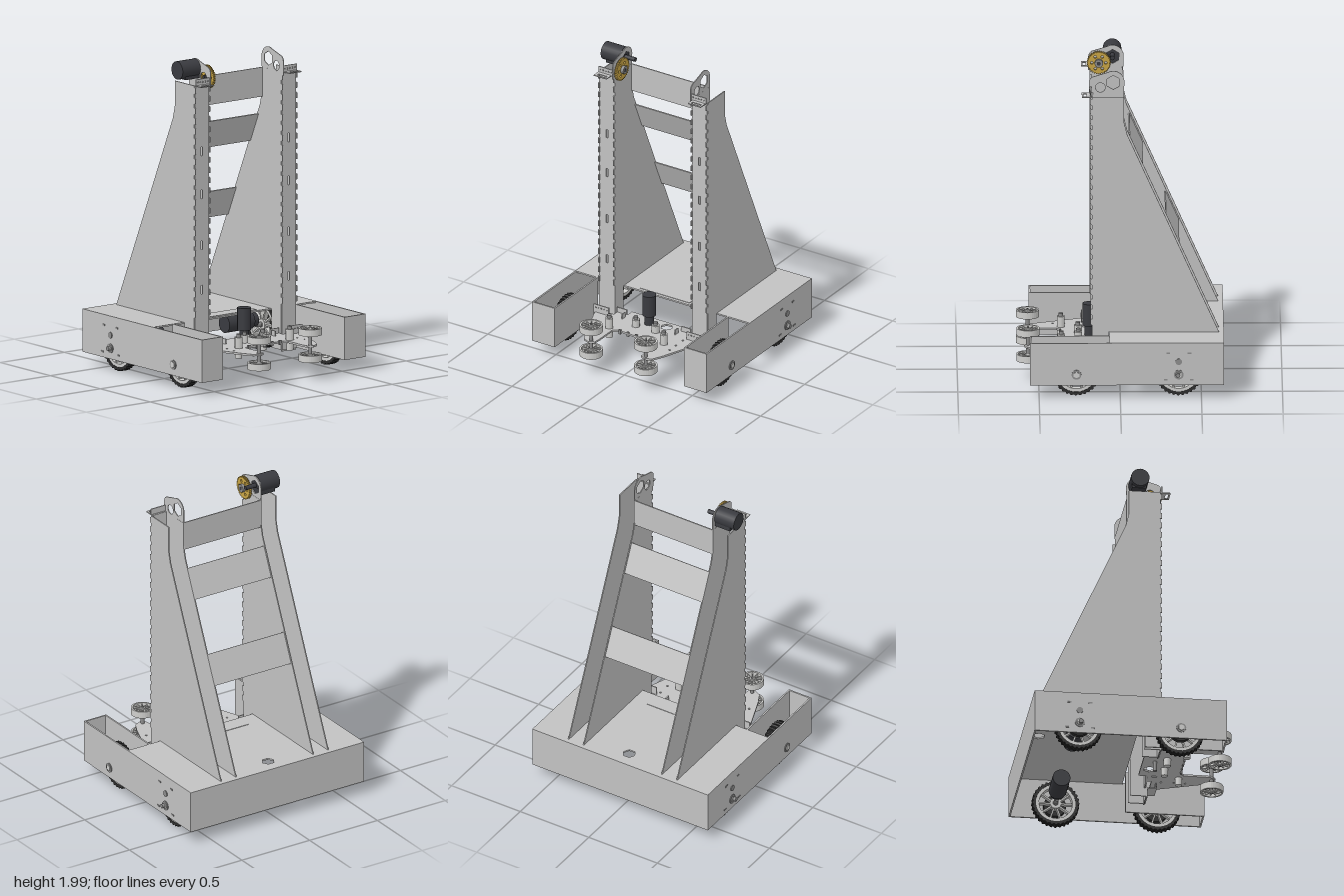
import * as THREE from 'three';

const mat = (name, color, side = THREE.FrontSide) => {
  const m = new THREE.MeshStandardMaterial({ color, side });
  m.name = name;
  return m;
};

export function createModel() {
  const root = new THREE.Group();
  root.name = 'liftRobot';
  const metal = mat('sheet metal grey', 0xc2c2c2, THREE.DoubleSide);
  const light = mat('pale wheel grey', 0xcfcfcd);
  const rubber = mat('tyre black', 0x2e2e2e);
  const motorMat = mat('motor charcoal', 0x3a3b40);
  const gold = mat('gear gold', 0xc9a545);
  const steel = mat('bolt grey', 0x8c8c8c);

  const add = (name, geo, m, parent = root) => {
    const mesh = new THREE.Mesh(geo, m);
    mesh.name = name;
    parent.add(mesh);
    return mesh;
  };
  // box from its limits
  const box = (name, m, x0, x1, y0, y1, z0, z1, parent = root) => {
    const b = add(name, new THREE.BoxGeometry(x1 - x0, y1 - y0, Math.abs(z1 - z0)), m, parent);
    b.position.set((x0 + x1) / 2, (y0 + y1) / 2, (z0 + z1) / 2);
    return b;
  };
  // cylinder along an axis
  const cyl = (name, m, r, len, axis, x, y, z, sides = 24, parent = root) => {
    const g = new THREE.CylinderGeometry(r, r, len, sides);
    if (axis === 'z') g.rotateX(Math.PI / 2);
    if (axis === 'x') g.rotateZ(Math.PI / 2);
    const c = add(name, g, m, parent);
    c.position.set(x, y, z);
    return c;
  };
  const poly = pts => new THREE.Shape(pts.map(p => new THREE.Vector2(p[0], p[1])));
  const hole = (shape, x, y, r, n = 24) => {
    const pts = [];
    for (let i = 0; i < n; i++) {
      const a = (i / n) * Math.PI * 2 + Math.PI / 6;
      pts.push(new THREE.Vector2(x + r * Math.cos(a), y + r * Math.sin(a)));
    }
    shape.holes.push(new THREE.Path(pts));
  };
  const rectHole = (shape, x, y, w, h) => shape.holes.push(new THREE.Path(
    [[-1, -1], [1, -1], [1, 1], [-1, 1]].map(([a, b]) => new THREE.Vector2(x + a * w / 2, y + b * h / 2))));
  const slab = (shape, d) => new THREE.ExtrudeGeometry(shape, { depth: d, bevelEnabled: false, curveSegments: 16 });
  // toothed ring shape
  const toothed = (r, depth, n, inner) => {
    const pts = [];
    for (let i = 0; i < n * 4; i++) {
      const a = (i / (n * 4)) * Math.PI * 2, q = i % 4 < 2 ? r : r - depth;
      pts.push([q * Math.cos(a), q * Math.sin(a)]);
    }
    const s = poly(pts);
    if (inner) hole(s, 0, 0, inner, 32);
    return s;
  };
  // spoked wheel lying across z
  const wheel = (name, r, width, tyre, tread, spokes) => {
    const g = new THREE.Group();
    g.name = name;
    const rim = tread ? r * 0.84 : r;
    if (tread) add('tyre', slab(toothed(r, 0.007, 32, rim), width).translate(0, 0, -width / 2), tyre, g);
    const ring = new THREE.Shape().absarc(0, 0, rim, 0, Math.PI * 2);
    hole(ring, 0, 0, rim * 0.84, 32);
    add('rim', slab(ring, width * 0.9).translate(0, 0, -width * 0.45), light, g);
    cyl('hub', light, r * 0.24, width * 0.9, 'z', 0, 0, 0, 20, g);
    cyl('axleNut', steel, r * 0.12, width * 1.2, 'z', 0, 0, 0, 6, g);
    for (let i = 0; i < spokes; i++) {
      const a = (i / spokes) * Math.PI * 2;
      const s = add('spoke', new THREE.BoxGeometry(rim * 0.7, r * 0.07, width * 0.6), light, g);
      s.position.set(Math.cos(a) * rim * 0.53, Math.sin(a) * rim * 0.53, 0);
      s.rotation.z = a;
    }
    root.add(g);
    return g;
  };

  // chassis: deck, back wall, hollow side arms, open underneath
  const deck = poly([[-0.64, -0.64], [0.065, -0.64], [0.065, 0.64], [-0.64, 0.64]]);
  hole(deck, -0.535, 0, 0.04, 6);
  add('deck', slab(deck, 0.01).rotateX(-Math.PI / 2), metal).position.y = 0.345;
  box('backWall', metal, -0.64, -0.63, 0.085, 0.345, -0.63, 0.63);
  box('deckPanel', metal, -0.045, 0.045, 0.355, 0.358, -0.185, 0.18);

  for (const s of [1, -1]) {
    box('sideWall', metal, -0.64, 0.555, 0.085, 0.345, s * 0.63, s * 0.64);
    box('armSideTop', metal, 0.065, 0.555, 0.345, 0.355, s * 0.63, s * 0.64);
    box('armInnerWall', metal, 0.065, 0.555, 0.085, 0.355, s * 0.475, s * 0.485);
    box('armEndWall', metal, 0.545, 0.555, 0.085, 0.355, s * 0.485, s * 0.63);

    // drive wheels, axles and motors
    for (const x of [-0.36, 0.27]) {
      wheel('driveWheel', 0.147, 0.048, rubber, true, 10).position.set(x, 0.15, s * 0.56);
      cyl('wheelHub', rubber, 0.07, 0.03, 'z', x, 0.15, s * 0.595);
      cyl('axle', steel, 0.014, 0.15, 'z', x, 0.153, s * 0.56, 12);
      cyl('axleWasher', steel, 0.03, 0.006, 'z', x, 0.153, s * 0.642, 20);
      cyl('axleNut', light, 0.02, 0.012, 'z', x, 0.153, s * 0.644, 6);
    }
    cyl('axleEnd', steel, 0.014, 0.03, 'z', -0.355, 0.153, s * 0.652, 12);
    cyl('sideBolt', steel, 0.02, 0.008, 'z', -0.36, 0.235, s * 0.641, 16);
    for (const [x, y] of [[-0.425, 0.29], [-0.295, 0.29], [-0.44, 0.12], [-0.28, 0.12]])
      box('sideSlot', steel, x - 0.012, x + 0.012, y - 0.005, y + 0.005, s * 0.638, s * 0.643);
    cyl('driveMotor', motorMat, 0.055, 0.2, 'z', -0.36, 0.19, s * 0.35);
    cyl('driveGearbox', motorMat, 0.042, 0.05, 'z', -0.36, 0.19, s * 0.465);

    // tower: two sloped plates joined by a slotted front strip
    const edge = [[0.07, 0.355], [0.07, 0.11], [0.168, 0.11]];
    for (let y = 0.4; y < 1.82; y += 0.064)
      edge.push([0.168, y], [0.181, y + 0.004], [0.181, y + 0.038], [0.168, y + 0.042]);
    const side = poly([...edge, [0.168, 1.86], [-0.025, 1.86], [-0.025, 1.7], [-0.045, 1.62], [-0.61, 0.355]]);
    for (const z of [0.285, 0.395])
      add('towerPlate', slab(side, 0.007).translate(0, 0, -0.0035), metal).position.z = s * z;
    const strip = poly([[-0.055, 0.1], [0.055, 0.1], [0.055, 1.86], [-0.055, 1.86]]);
    for (const y of [0.57, 0.85, 1.17, 1.44]) rectHole(strip, 0, y, 0.014, 0.055);
    add('towerFront', slab(strip, 0.006).rotateY(Math.PI / 2), metal).position.set(0.165, 0, s * 0.34);

    // top cap and rounded ear
    box('towerCapFront', metal, 0.176, 0.183, 1.86, 1.9, s * 0.285, s * 0.395);
    const cap = poly([[0.168, -0.05], [0.235, -0.05], [0.235, 0.045], [0.168, 0.045]]);
    rectHole(cap, 0.215, 0, 0.018, 0.065);
    add('towerCap', slab(cap, 0.006).rotateX(-Math.PI / 2), metal).position.set(0, 1.856, s * 0.345);
    const ear = new THREE.Shape();
    ear.moveTo(-0.025, 1.84);
    ear.lineTo(0.19, 1.84);
    ear.lineTo(0.19, 1.91);
    ear.absarc(0.15, 1.925, 0.04, 0, Math.PI * 0.35, false);
    ear.absarc(0.04, 1.93, 0.068, Math.PI * 0.35, Math.PI, false);
    hole(ear, 0.04, 1.925, 0.045, 6);
    hole(ear, 0.12, 1.893, 0.03);
    add('topEar', slab(ear, 0.006).translate(0, 0, -0.003), metal).position.z = s * 0.285;
    for (let i = 0; i < 5; i++)
      cyl('capRivet', steel, 0.006, 0.004, 'x', 0.184, 1.88, s * (0.3 + i * 0.02), 10);

    // angle bracket tying the tower to the fork plate
    box('footBracket', metal, 0.171, 0.235, 0.165, 0.172, s * 0.285, s * 0.395);
    box('footBracketFace', metal, 0.228, 0.235, 0.165, 0.27, s * 0.285, s * 0.395);
    box('footTab', metal, 0.171, 0.179, 0.11, 0.165, s * 0.285, s * 0.395);
    for (let i = 0; i < 5; i++) for (const y of [0.185, 0.25])
      cyl('footRivet', steel, 0.005, 0.004, 'x', 0.236, y, s * (0.3 + i * 0.02), 10);

    // fork rollers above and below the plate
    for (const y of [0.305, 0.14]) {
      const w = wheel('forkWheel', 0.072, 0.048, light, false, 12);
      w.rotation.x = Math.PI / 2;
      w.position.set(0.565, y, s * 0.2);
    }
    cyl('forkAxle', steel, 0.012, 0.2, 'y', 0.565, 0.222, s * 0.2, 12);
    for (const [x, z, h] of [[0.36, 0.2, 0.07], [0.255, 0.072, 0.05]]) {
      cyl('forkSpacer', light, 0.027, h, 'y', x, 0.215 + h / 2, s * z, 6);
      cyl('forkSpacerBolt', steel, 0.014, h + 0.03, 'y', x, 0.22 + h / 2, s * z, 12);
      cyl('lowerSpacer', light, 0.022, 0.05, 'y', x, 0.178, s * z, 12);
    }
    box('plateTab', metal, 0.155, 0.163, 0.16, 0.25, s * 0.2, s * 0.27);
    box('plateTabSide', metal, 0.19, 0.225, 0.2, 0.25, s * 0.19, s * 0.197);
  }

  // cross braces between the towers
  const slopeX = y => -0.61 + (y - 0.355) * 0.4466;
  for (const y of [0.97, 1.47]) {
    const b = add('slopedBrace', new THREE.BoxGeometry(0.007, 0.2, 0.565), metal);
    b.position.set(slopeX(y) + 0.012, y, 0);
    b.rotation.z = -Math.atan(0.4466);
  }
  box('topBrace', metal, -0.025, -0.018, 1.675, 1.86, -0.283, 0.283);

  // fork plate with mounting holes, mirrored outline
  const half = [[0.37, 0], [0.36, 0.13], [0.385, 0.165], [0.52, 0.165], [0.57, 0.17], [0.59, 0.205],
    [0.57, 0.25], [0.5, 0.285], [0.2, 0.4], [0.2, 0.27], [0.16, 0.27], [0.16, 0.195], [0.11, 0.195]];
  const fork = poly([...half, ...half.slice(1).reverse().map(([x, z]) => [x, -z])]);
  hole(fork, 0.165, 0.095, 0.038, 6);
  for (const z of [0.275, -0.275]) for (const x of [0.26, 0.34, 0.41]) hole(fork, x, z, 0.007, 10);
  add('forkPlate', slab(fork, 0.012).rotateX(-Math.PI / 2), metal).position.y = 0.205;
  for (const z of [-0.12, -0.06, 0, 0.06, 0.12])
    box('plateEdgeTab', steel, 0.358, 0.368, 0.195, 0.225, z - 0.008, z + 0.008);

  // fork motor
  cyl('forkMotor', motorMat, 0.043, 0.14, 'y', 0.185, 0.35, 0.02);
  cyl('forkGearbox', motorMat, 0.03, 0.065, 'y', 0.185, 0.249, 0.02);
  cyl('forkMotorShaft', steel, 0.012, 0.07, 'y', 0.185, 0.175, 0.02, 12);

  // lift motor and reduction gear at the top
  cyl('liftMotor', motorMat, 0.057, 0.14, 'z', 0.042, 1.94, 0.362);
  box('liftMotorBase', motorMat, -0.005, 0.085, 1.882, 1.92, 0.29, 0.4);
  cyl('liftShaft', motorMat, 0.014, 0.075, 'z', 0.042, 1.935, 0.25, 14);
  const gear = toothed(0.074, 0.007, 36, 0.02);
  for (let i = 0; i < 6; i++)
    hole(gear, 0.043 * Math.cos(i * Math.PI / 3), 0.043 * Math.sin(i * Math.PI / 3), 0.009, 12);
  add('liftGear', slab(gear, 0.016), gold).position.set(0.125, 1.893, 0.252);
  cyl('liftGearHub', steel, 0.026, 0.02, 'z', 0.125, 1.893, 0.243, 20);
  cyl('liftGearAxle', motorMat, 0.012, 0.06, 'z', 0.125, 1.893, 0.262, 12);

  return root;
}
